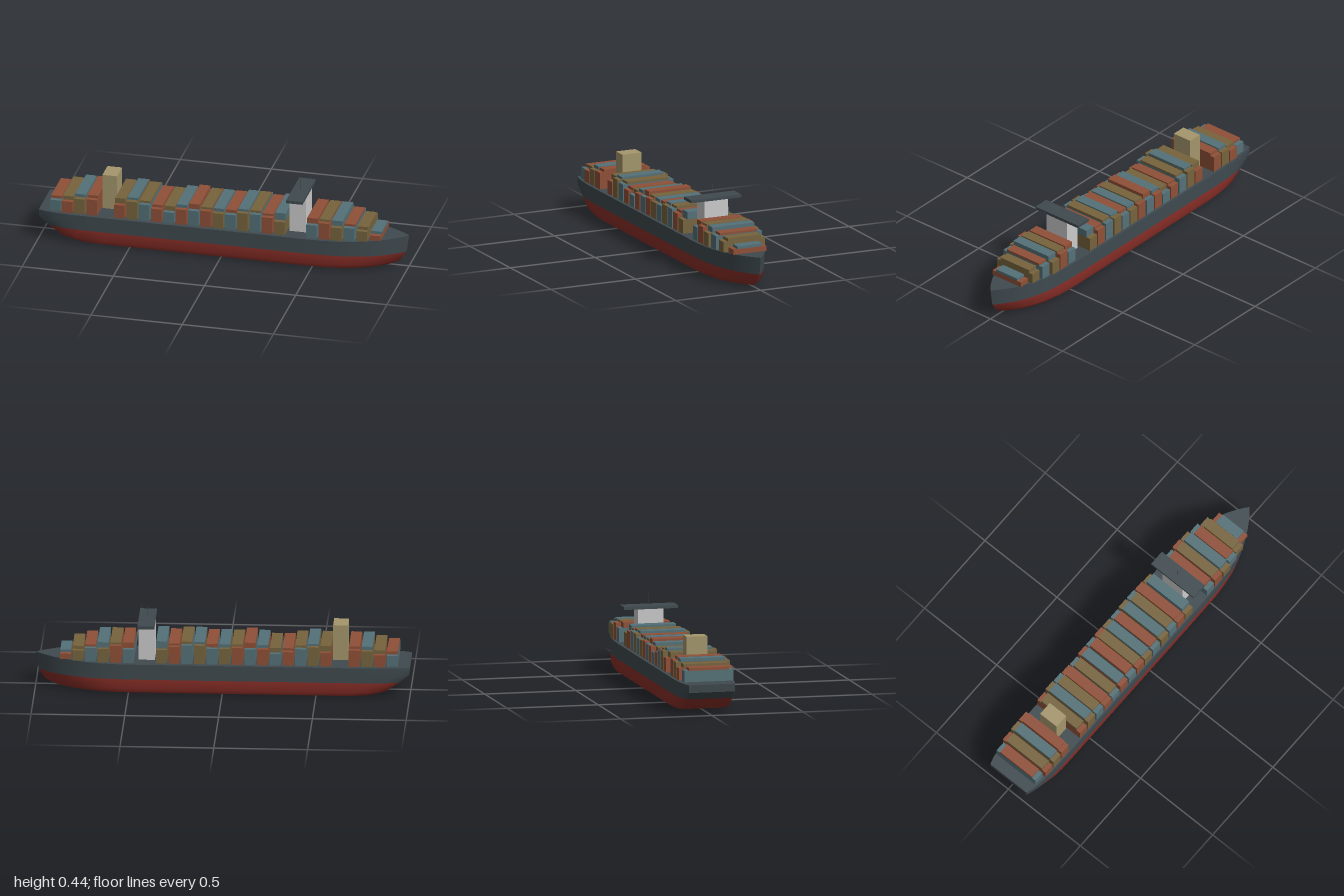
import * as THREE from 'three';
import { toCreasedNormals } from 'three/addons/utils/BufferGeometryUtils.js';

const mat = (color) => new THREE.MeshStandardMaterial({ color });
const steel = mat(0x3f4a4f), red = mat(0x8c2f28), buff = mat(0xa5976c), grey = mat(0xcccccc);
const cargo = { b: mat(0x547178), r: mat(0x8f5037), o: mat(0x77643e) };

// Deck outline: [x, half breadth] from stern to bow
const outline = [[-1, 0.125], [-0.96, 0.138], [-0.9, 0.147], [-0.82, 0.153], [-0.7, 0.154], [0, 0.154], [0.45, 0.154],
  [0.55, 0.152], [0.64, 0.146], [0.72, 0.135], [0.79, 0.117], [0.85, 0.095], [0.9, 0.072], [0.95, 0.04], [0.98, 0.018], [1, 0]];

// Hull levels: [y, stern x, bow x, breadth scale]
const levels = [[0, -0.75, 0.87, 0.8], [0.008, -0.8, 0.91, 0.93], [0.03, -0.87, 0.95, 1], [0.083, -0.945, 0.985, 1],
  [0.125, -0.997, 0.992, 1], [0.167, -1, 1, 1]];

// Closed waterline loop at one level
function waterline([y, stern, bow, scale]) {
  const side = outline.map(([x, w]) => {
    let px = x;
    if (x > 0.45) px = 0.45 + (x - 0.45) * (bow - 0.45) / 0.55;
    if (x < -0.5) px = -0.5 + (x + 0.5) * (stern + 0.5) / -0.5;
    const sheer = y > 0.16 ? 0.012 * Math.max(0, (x - 0.6) / 0.4) : 0;
    return [px, y + sheer, w * scale];
  });
  return [...side, ...side.map(([x, h, z]) => [x, h, -z]).reverse()];
}

// Skin between waterlines, with optional bottom and deck
function hullPart(rows, bottom, deck) {
  const loops = rows.map(waterline), pos = [], m = loops[0].length;
  const quad = (a, b, c, d) => pos.push(...a, ...b, ...c, ...a, ...c, ...d);
  for (let j = 0; j < loops.length - 1; j++)
    for (let i = 0; i < m; i++) {
      const k = (i + 1) % m;
      quad(loops[j][i], loops[j][k], loops[j + 1][k], loops[j + 1][i]);
    }
  const top = loops[loops.length - 1], low = loops[0];
  for (let i = 0; i < m / 2 - 1; i++) {
    if (deck) quad(top[i], top[i + 1], top[m - 2 - i], top[m - 1 - i]);
    if (bottom) quad(low[m - 1 - i], low[m - 2 - i], low[i + 1], low[i]);
  }
  const g = new THREE.BufferGeometry();
  g.setAttribute('position', new THREE.Float32BufferAttribute(pos, 3));
  return toCreasedNormals(g, 0.7);
}

export function createModel() {
  const ship = new THREE.Group();
  ship.name = 'containerShip';
  const add = (name, geometry, material, parent = ship) => {
    const mesh = new THREE.Mesh(geometry, material);
    mesh.name = name;
    parent.add(mesh);
    return mesh;
  };
  // Box given by centre x, bottom and top y, length and half breadth
  const box = (name, material, x, y0, y1, length, half, parent) =>
    add(name, new THREE.BoxGeometry(length, y1 - y0, half * 2), material, parent).position.set(x, (y0 + y1) / 2, 0);

  add('lowerHull', hullPart(levels.slice(0, 4), true, false), red);
  add('upperHull', hullPart(levels.slice(3), false, true), steel);

  // Wheelhouse tower, bridge wings, mast and funnel
  box('bridgeTower', grey, 0.406, 0.165, 0.367, 0.088, 0.07);
  box('bridgeWings', steel, 0.406, 0.365, 0.381, 0.09, 0.148);
  add('mast', new THREE.CylinderGeometry(0.0015, 0.0015, 0.066, 6), steel).position.set(0.406, 0.412, 0);
  box('funnel', buff, -0.628, 0.18, 0.375, 0.08, 0.057);

  // Container bays: [first x, bays as lower colour, upper colour, lower top, upper top, half breadth]
  const full = 0.148;
  const blocks = [
    [-0.907, [['b', 'r', 0.235, 0.25, 0.135], ['r', 'o', 0.24, 0.261, full], ['o', 'b', 0.262, 0.28, full], ['r', 'r', 0.265, 0.28, full]]],
    [-0.553, [['r', 'o', 0.25, 0.28, full], ['o', 'b', 0.278, 0.291, full], ['b', 'o', 0.268, 0.28, full],
      ['r', 'r', 0.25, 0.264, full], ['b', 'o', 0.238, 0.264, full], ['r', 'b', 0.262, 0.28, full], ['b', 'r', 0.262, 0.291, full],
      ['r', 'o', 0.268, 0.28, full], ['o', 'b', 0.262, 0.28, full], ['b', 'r', 0.262, 0.28, full], ['o', 'b', 0.278, 0.291, full],
      ['b', 'o', 0.278, 0.291, full], ['r', 'r', 0.268, 0.28, full], ['o', 'b', 0.25, 0.291, full]]],
    [0.5, [['b', 'r', 0.25, 0.28, full], ['r', 'o', 0.268, 0.28, full], ['o', 'b', 0.25, 0.28, full],
      ['b', 'r', 0.25, 0.263, 0.136], ['o', 'o', 0.232, 0.249, 0.123], ['r', 'b', 0.203, 0.218, 0.098]]],
  ];
  const containers = new THREE.Group();
  containers.name = 'containers';
  ship.add(containers);
  for (const [x0, bays] of blocks)
    bays.forEach(([lower, upper, y1, y2, half], i) => {
      const x = x0 + i * 0.0674;
      box('lowerContainers', cargo[lower], x, 0.174, y1, 0.058, half, containers);
      box('upperContainers', cargo[upper], x, y1, y2, 0.058, half - 0.025, containers);
    });
  return ship;
}
